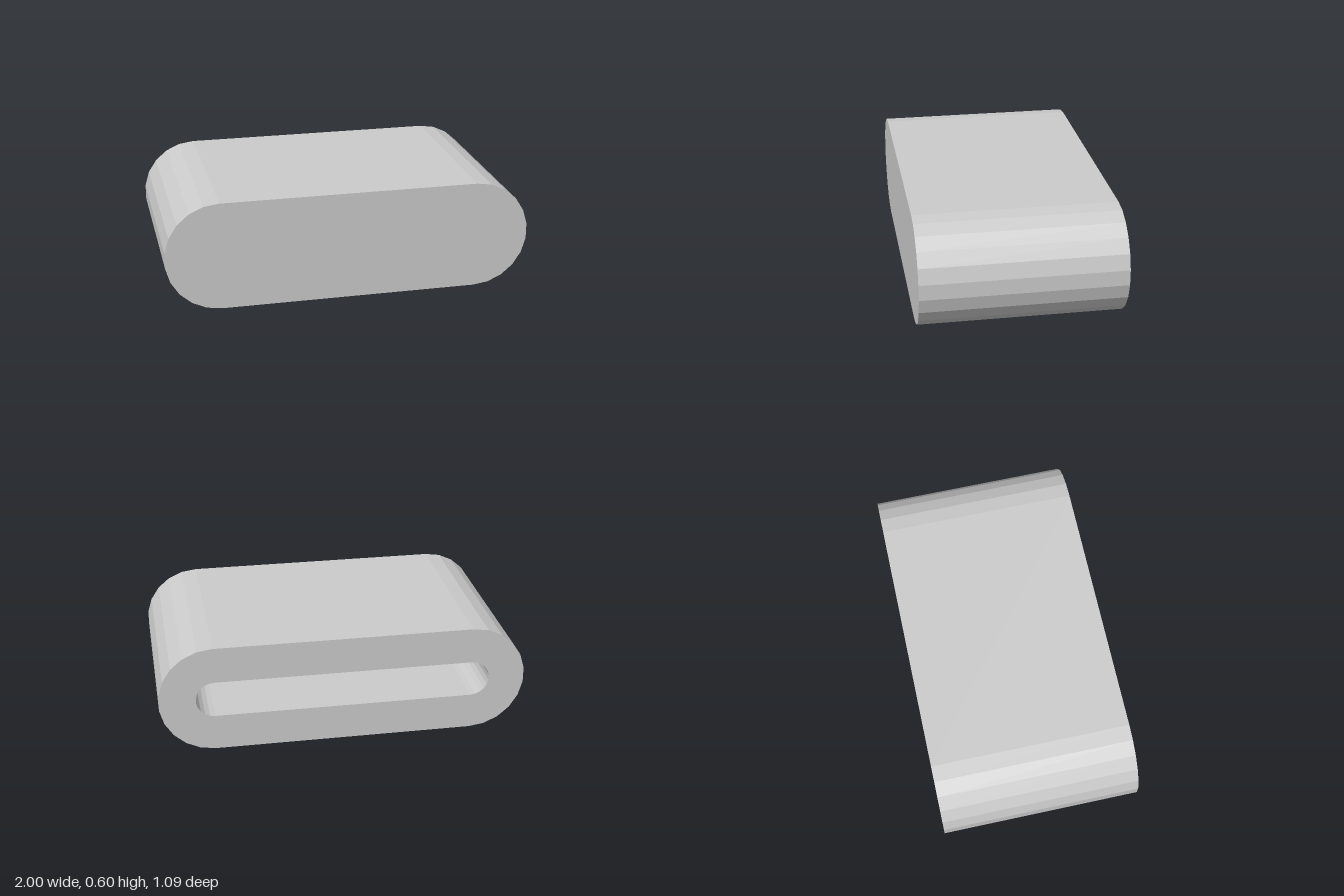
import * as THREE from 'three';

const SEGMENTS = 11;     // facets on each rounded end
const CENTER_X = 0.704;  // centre of the end arcs
const OUTER_R = 0.299;
const SLOT_R = 0.1;
const HALF_DEPTH = 0.546;
const WALL = 0.2;        // thickness of the closed front

// Stadium-shaped cross-section, counter-clockwise seen from the front
function stadium(radius, z) {
  const points = [];
  for (const side of [1, -1]) {
    for (let i = 0; i <= SEGMENTS; i++) {
      const a = -Math.PI / 2 + (Math.PI * i) / SEGMENTS;
      points.push([
        side * (CENTER_X + radius * Math.cos(a)),
        OUTER_R + side * radius * Math.sin(a),
        z,
      ]);
    }
  }
  return points;
}

// Joins successive rings of equal point count into one faceted skin
function skin(rings) {
  const n = rings[0].length;
  const index = [];
  for (let r = 0; r < rings.length - 1; r++) {
    for (let i = 0; i < n; i++) {
      const j = (i + 1) % n;
      const a = r * n + i, b = (r + 1) * n + i;
      const c = (r + 1) * n + j, d = r * n + j;
      if (r > 0) index.push(a, c, d);                  // first ring is a point
      if (r < rings.length - 2) index.push(a, b, c);   // last ring is a point
    }
  }
  const geometry = new THREE.BufferGeometry();
  geometry.setAttribute('position', new THREE.Float32BufferAttribute(rings.flat(2), 3));
  geometry.setIndex(index);
  const faceted = geometry.toNonIndexed();
  faceted.computeVertexNormals();
  return faceted;
}

export function createModel() {
  const group = new THREE.Group();
  group.name = 'slottedSleeve';

  const slotEnd = HALF_DEPTH - WALL;
  const centre = (z) => stadium(0, z).map(() => [0, OUTER_R, z]);

  // Closed front, outer wall, back rim, slot wall and slot floor in one shell
  const shell = new THREE.Mesh(
    skin([
      centre(HALF_DEPTH),
      stadium(OUTER_R, HALF_DEPTH),
      stadium(OUTER_R, -HALF_DEPTH),
      stadium(SLOT_R, -HALF_DEPTH),
      stadium(SLOT_R, slotEnd),
      centre(slotEnd),
    ]),
    new THREE.MeshStandardMaterial({ color: 0xcccccc, flatShading: true })
  );
  shell.name = 'sleeveBody';
  group.add(shell);
  return group;
}
